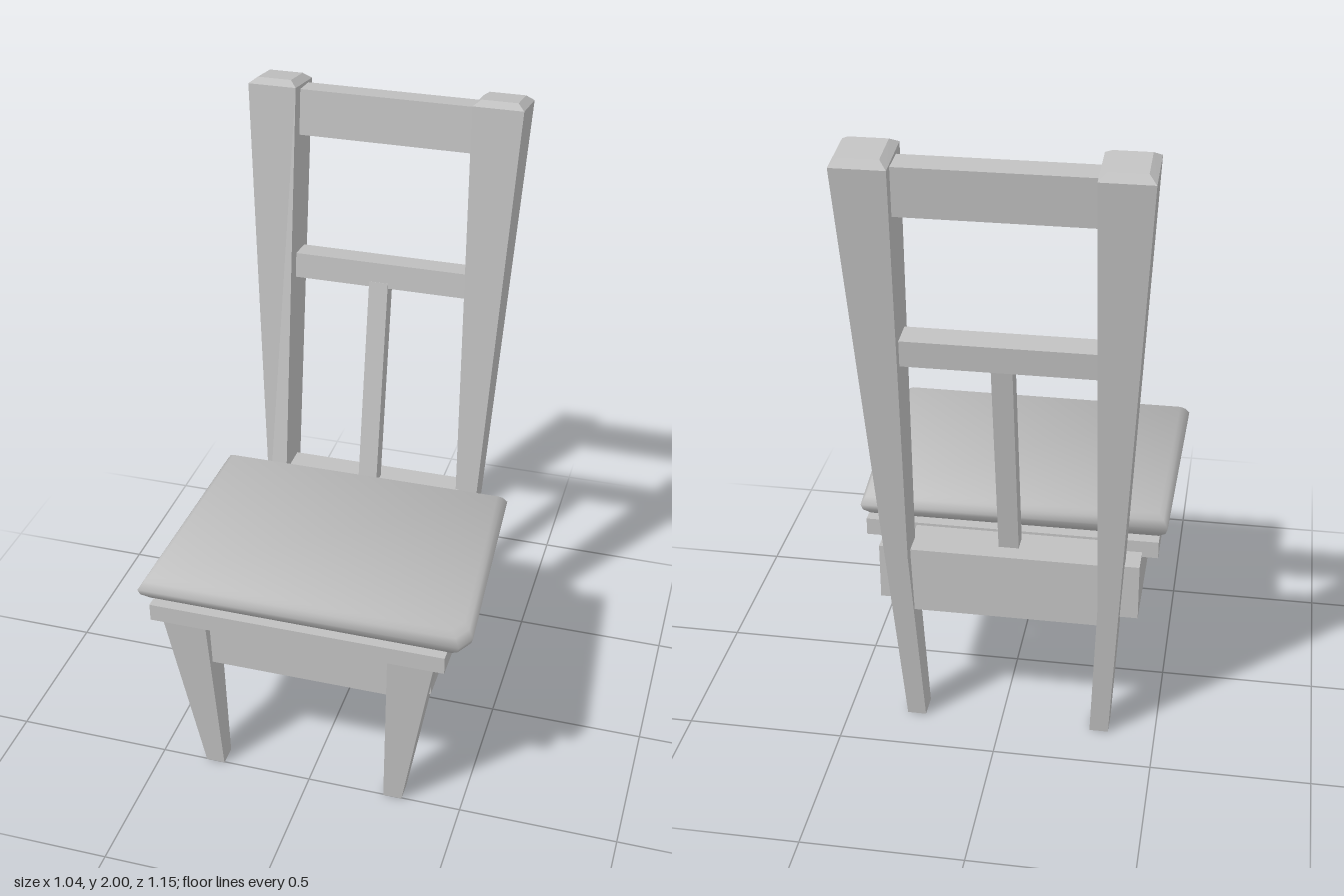
import * as THREE from 'three';

const material = new THREE.MeshStandardMaterial({ color: 0xc0c0c0 });
material.name = 'plain grey';

// Joins stacked rings of [x, y, z] corners (counterclockwise from above) into a closed solid.
function loft(rings) {
  const n = rings[0].length;
  const index = [];
  for (let r = 0; r < rings.length - 1; r++) {
    for (let i = 0; i < n; i++) {
      const a = r * n + i, b = r * n + (i + 1) % n;
      index.push(a, b, b + n, a, b + n, a + n);
    }
  }
  const top = (rings.length - 1) * n;
  for (let i = 1; i < n - 1; i++) {
    index.push(0, i + 1, i);
    index.push(top, top + i, top + i + 1);
  }
  const geometry = new THREE.BufferGeometry();
  geometry.setAttribute('position', new THREE.Float32BufferAttribute(rings.flat(2), 3));
  geometry.setIndex(index);
  return geometry;
}

function flat(geometry) {
  const g = geometry.toNonIndexed();
  g.computeVertexNormals();
  return g;
}

// Four-cornered ring; back and front heights differ on sloped ends, zf2 skews the +x front corner.
function ring(x0, x1, zb, zf, yb, yf = yb, zf2 = zf) {
  return [[x0, yf, zf], [x1, yf, zf2], [x1, yb, zb], [x0, yb, zb]];
}

export function createModel() {
  const chair = new THREE.Group();
  chair.name = 'chair';

  function add(name, geometry) {
    const mesh = new THREE.Mesh(geometry, material);
    mesh.name = name;
    chair.add(mesh);
    return mesh;
  }

  // Box given by its limits
  function block(name, x0, x1, y0, y1, z0, z1) {
    const mesh = add(name, new THREE.BoxGeometry(x1 - x0, y1 - y0, z1 - z0));
    mesh.position.set((x0 + x1) / 2, (y0 + y1) / 2, (z0 + z1) / 2);
    return mesh;
  }

  // Tall back posts with bevelled caps
  add('rightBackPost', flat(loft([
    ring(-0.35, -0.29, -0.345, -0.265, 0),
    ring(-0.378, -0.312, -0.405, -0.272, 0.52, 0.52, -0.247),
    ring(-0.455, -0.30, -0.578, -0.408, 1.96, 1.985),
    ring(-0.432, -0.323, -0.553, -0.433, 1.982, 2.0),
  ])));
  add('leftBackPost', flat(loft([
    ring(0.25, 0.31, -0.345, -0.265, 0),
    ring(0.275, 0.347, -0.422, -0.312, 0.65),
    ring(0.26, 0.42, -0.578, -0.408, 1.96, 1.985),
    ring(0.283, 0.397, -0.553, -0.433, 1.982, 2.0),
  ])));

  // Tapered front legs
  add('rightFrontLeg', flat(loft([
    ring(-0.35, -0.29, 0.437, 0.503, 0),
    ring(-0.45, -0.31, 0.43, 0.555, 0.61),
  ])));
  add('leftFrontLeg', flat(loft([
    ring(0.25, 0.31, 0.437, 0.503, 0),
    ring(0.27, 0.415, 0.43, 0.555, 0.61),
  ])));

  // Aprons under the seat
  block('frontApron', -0.34, 0.30, 0.435, 0.61, 0.44, 0.52);
  block('rightApron', -0.43, -0.345, 0.435, 0.622, -0.32, 0.48);
  block('leftApron', 0.305, 0.39, 0.435, 0.622, -0.32, 0.48);
  block('backApron', -0.33, 0.285, 0.44, 0.66, -0.385, -0.24);

  // Seat board
  block('seatBoard', -0.48, 0.45, 0.605, 0.662, -0.23, 0.575);

  // Leaning rails and centre splat of the back
  block('topRail', -0.32, 0.28, 1.815, 1.962, -0.533, -0.448).rotation.x = -0.09;
  block('middleRail', -0.32, 0.29, 1.339, 1.422, -0.478, -0.393).rotation.x = -0.09;
  add('backSplat', flat(loft([
    ring(-0.055, 0.008, -0.325, -0.265, 0.65),
    ring(-0.055, 0.008, -0.45, -0.39, 1.36),
  ])));

  // Pillow-shaped cushion, wider at the front with one clipped corner
  const outline = [[-0.52, 0.567], [0.49, 0.57], [0.52, 0.515], [0.47, -0.22], [-0.505, -0.217]];
  const cushionRing = (y, inset) => outline.map(([x, z]) => [
    x * (1 - inset / 0.52), y, 0.175 + (z - 0.175) * (1 - inset / 0.4)]);
  const cushion = loft([
    cushionRing(0.66, 0.03),
    cushionRing(0.685, 0.006),
    cushionRing(0.705, 0),
    cushionRing(0.728, 0.015),
    cushionRing(0.742, 0.032),
  ]);
  // Rounded normals give the soft padded look
  const p = cushion.attributes.position;
  const normals = [];
  const v = new THREE.Vector3();
  for (let i = 0; i < p.count; i++) {
    v.set(p.getX(i), (p.getY(i) - 0.702) / 0.04, p.getZ(i) - 0.175).normalize();
    normals.push(v.x, v.y, v.z);
  }
  cushion.setAttribute('normal', new THREE.Float32BufferAttribute(normals, 3));
  add('seatCushion', cushion);

  return chair;
}
